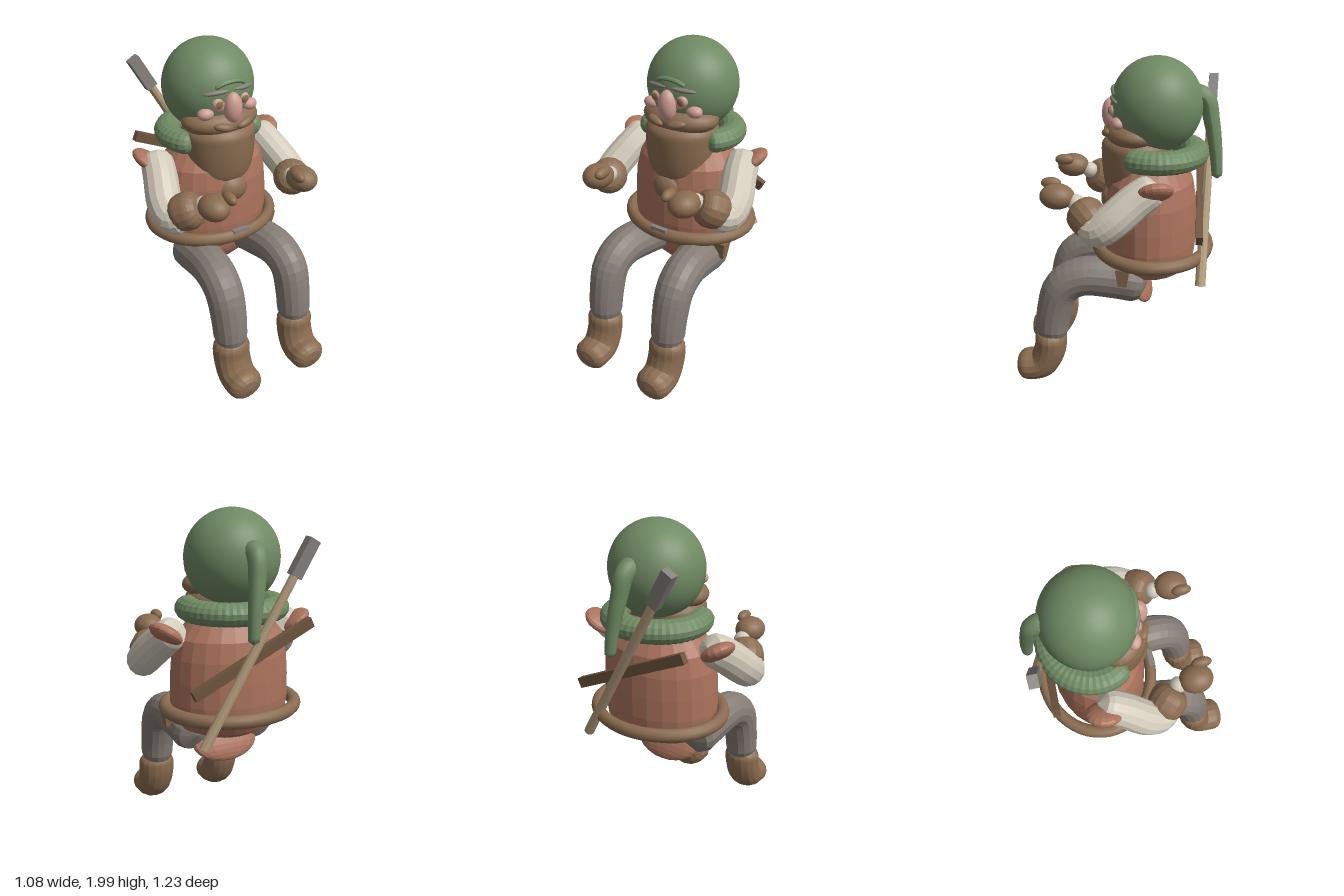
import * as THREE from 'three';

const mat = (name, color) => {
  const m = new THREE.MeshStandardMaterial({ color });
  m.name = name;
  return m;
};
const V = (x, y, z) => new THREE.Vector3(x, y, z);

export function createModel() {
  const green = mat('hood green', 0x6f8a63);
  const rust = mat('tunic rust', 0xac735d);
  const brown = mat('leather brown', 0x8a6c50);
  const cream = mat('sleeve cream', 0xd0c9b9);
  const grey = mat('trouser grey', 0x857c75);
  const skin = mat('skin pink', 0xcf9d92);
  const tan = mat('handle tan', 0xb39c7c);
  const metal = mat('metal grey', 0x85817d);
  const dark = mat('dark wood', 0x6f563f);

  const root = new THREE.Group();
  root.name = 'seatedGnome';

  const add = (name, geo, material, flat = false) => {
    if (flat) {
      if (geo.index) geo = geo.toNonIndexed();
      geo.computeVertexNormals();
    }
    const mesh = new THREE.Mesh(geo, material);
    mesh.name = name;
    root.add(mesh);
    return mesh;
  };

  // Ellipsoid from centre, radii and rotation
  const blob = (name, material, c, r, rot = [0, 0, 0], seg = 24, flat = false) => {
    const geo = new THREE.SphereGeometry(1, seg, Math.round(seg * 0.66)).scale(...r);
    const mesh = add(name, geo, material, flat);
    mesh.position.set(...c);
    mesh.rotation.set(...rot);
    return mesh;
  };

  // Swept limb with a varying radius and blunt rounded ends
  const limb = (name, material, pts, radius, rings, sides, flat = true) => {
    const curve = new THREE.CatmullRomCurve3(pts);
    const length = curve.getLength();
    const geo = new THREE.TubeGeometry(curve, rings, 1, sides);
    const pos = geo.attributes.position;
    const p = V(0, 0, 0);
    for (let i = 0; i <= rings; i++) {
      const u = i / rings;
      const centre = curve.getPointAt(u);
      let r = radius(u);
      const k = Math.min(1, (Math.min(u, 1 - u) * length) / (r * 0.75));
      r *= (1 - (1 - k) ** 2) ** 0.4;
      for (let j = 0; j <= sides; j++) {
        const n = i * (sides + 1) + j;
        p.fromBufferAttribute(pos, n).sub(centre).multiplyScalar(r).add(centre);
        pos.setXYZ(n, p.x, p.y, p.z);
      }
    }
    geo.computeVertexNormals();
    return add(name, geo, material, flat);
  };

  // Straight piece running between two points
  const between = (mesh, a, b) => {
    mesh.position.copy(a).add(b).multiplyScalar(0.5);
    mesh.quaternion.setFromUnitVectors(V(0, 1, 0), b.clone().sub(a).normalize());
    return mesh;
  };

  // Tunic
  const profile = [[0.001, 0.69], [0.18, 0.7], [0.29, 0.75], [0.35, 0.83], [0.36, 0.92], [0.358, 1.05],
    [0.348, 1.18], [0.322, 1.29], [0.25, 1.38], [0.13, 1.42], [0.001, 1.43]].map(q => new THREE.Vector2(...q));
  const body = new THREE.LatheGeometry(profile, 24).scale(1, 1, 0.77).translate(0, 0, -0.2);
  add('tunic', body, rust, true);
  blob('tunicFlap', rust, [0, 0.61, -0.14], [0.215, 0.13, 0.05], [0.55, 0, 0], 18, true);

  // Belt, buckle and pouch
  const belt = new THREE.TorusGeometry(0.39, 0.04, 12, 48).rotateX(Math.PI / 2).scale(1, 1, 0.86);
  add('belt', belt, brown).position.set(0, 0.873, -0.215);
  add('buckle', new THREE.BoxGeometry(0.11, 0.03, 0.03), metal).position.set(0, 0.902, 0.13);
  add('pouch', new THREE.CylinderGeometry(0.058, 0.036, 0.11, 4).rotateY(Math.PI / 4), brown, true)
    .position.set(0.33, 0.785, -0.06);

  // Legs, boots, arms and hands
  for (const s of [1, -1]) {
    limb('leg', grey, [V(0.2 * s, 0.69, -0.2), V(0.213 * s, 0.72, 0), V(0.23 * s, 0.726, 0.2),
      V(0.238 * s, 0.66, 0.31), V(0.238 * s, 0.5, 0.365), V(0.238 * s, 0.3, 0.39)],
    u => 0.132 - 0.032 * u, 24, 16);
    limb('boot', brown, [V(0.24 * s, 0.37, 0.39), V(0.24 * s, 0.22, 0.403), V(0.24 * s, 0.12, 0.46),
      V(0.24 * s, 0.102, 0.612)], u => 0.1 - 0.005 * u, 36, 16)
      .geometry.translate(-0.24 * s, 0, 0).scale(1.18, 1, 1).translate(0.24 * s, 0, 0);
    limb('sleeve', cream, [V(0.35 * s, 1.36, -0.26), V(0.39 * s, 1.27, -0.13), V(0.435 * s, 1.16, 0),
      V(0.43 * s, 1.115, 0.07), V(0.37 * s, 1.14, 0.15)], u => 0.093 + 0.01 * Math.sin(u * Math.PI), 20, 14);
    blob('shoulderCap', rust, [0.41 * s, 1.335, -0.24], [0.1, 0.045, 0.105], [0.2, 0, 0.6 * s], 16, true);
    limb('gloveCuff', brown, [V(0.435 * s, 1.115, 0.07), V(0.37 * s, 1.165, 0.135), V(0.31 * s, 1.21, 0.2)],
      u => 0.108 + 0.006 * u, 14, 16);
    blob('wrist', cream, [0.305 * s, 1.225, 0.21], [0.05, 0.05, 0.05], [0, 0, 0], 14);
    blob('hand', brown, [0.3 * s, 1.257, 0.315], [0.087, 0.073, 0.1], [0, 0, 0], 20);
    blob('thumb', brown, [0.23 * s, 1.312, 0.36], [0.032, 0.034, 0.06], [0, 0, 0], 14);

    // Face details on each side
    blob('cheek', skin, [0.145 * s, 1.645, -0.015], [0.05, 0.036, 0.04]);
    blob('eye', skin, [0.085 * s, 1.705, 0.018], [0.036, 0.034, 0.025]);
    blob('iris', brown, [0.085 * s, 1.705, 0.039], [0.022, 0.022, 0.008]);
    blob('eyebrow', grey, [0.09 * s, 1.768, 0.012], [0.075, 0.015, 0.02], [0, 0.3 * s, -0.08 * s]);
    blob('moustache', brown, [0.07 * s, 1.572, 0.055], [0.06, 0.025, 0.03], [0, 0.25 * s, 0.2 * s]);
  }

  // Head, hood and face
  blob('hood', green, [0, 1.728, -0.225], [0.273, 0.272, 0.265], [0, 0, 0], 40);
  blob('face', skin, [0, 1.69, -0.085], [0.175, 0.09, 0.128]);
  limb('hoodBrim', green, [V(-0.1, 1.79, 0.005), V(-0.055, 1.812, 0.02), V(0, 1.82, 0.024),
    V(0.055, 1.812, 0.02), V(0.1, 1.79, 0.005)], () => 0.014, 20, 8, false);
  blob('nose', skin, [0, 1.67, 0.04], [0.055, 0.092, 0.052]);

  // Beard
  blob('upperBeard', brown, [0, 1.568, -0.1], [0.24, 0.092, 0.17], [0, 0, 0], 28);
  const beardProfile = [[0.001, 1.175], [0.13, 1.185], [0.175, 1.21], [0.198, 1.26], [0.212, 1.35],
    [0.217, 1.45], [0.21, 1.51], [0.15, 1.55], [0.001, 1.56]].map(q => new THREE.Vector2(...q));
  const beard = new THREE.LatheGeometry(new THREE.SplineCurve(beardProfile).getPoints(24), 32);
  add('beard', beard.scale(1.02, 1, 0.96), brown).position.z = -0.115;
  blob('beardTip', brown, [0, 1.155, 0.015], [0.108, 0.092, 0.085]);

  // Softly pleated collar, open at the front
  const collar = [];
  for (let i = 0; i <= 12; i++) {
    const a = THREE.MathUtils.degToRad(-132 + (264 * i) / 12);
    collar.push(V(0.252 * Math.sin(a), 1.45, -0.23 - 0.228 * Math.cos(a)));
  }
  const collarMesh = limb('collar', green, collar, u => 0.077 + 0.0015 * Math.cos(u * Math.PI * 70), 140, 14);
  collarMesh.scale.y = 0.87;
  collarMesh.position.y = 1.45 * 0.13;

  // Hood tail
  limb('hoodTail', green, [V(0, 1.8, -0.42), V(0, 1.77, -0.5), V(0.015, 1.64, -0.54),
    V(0.04, 1.47, -0.57), V(0.055, 1.31, -0.585)], u => 0.058 - 0.028 * u, 28, 14, false);

  // Tool and plank on the back
  const low = V(0.325, 0.71, -0.508), high = V(-0.31, 1.83, -0.55);
  between(add('toolHandle', new THREE.CylinderGeometry(0.025, 0.03, low.distanceTo(high) - 0.06, 10), tan, true), low, high);
  between(add('toolHead', new THREE.BoxGeometry(0.07, 0.22, 0.054), metal),
    high.clone().lerp(low, 0.15), high);
  const plank = add('plank', new THREE.BoxGeometry(0.8, 0.06, 0.04), dark);
  plank.position.set(0, 1.21, -0.49);
  plank.rotation.z = -0.44;

  return root;
}
